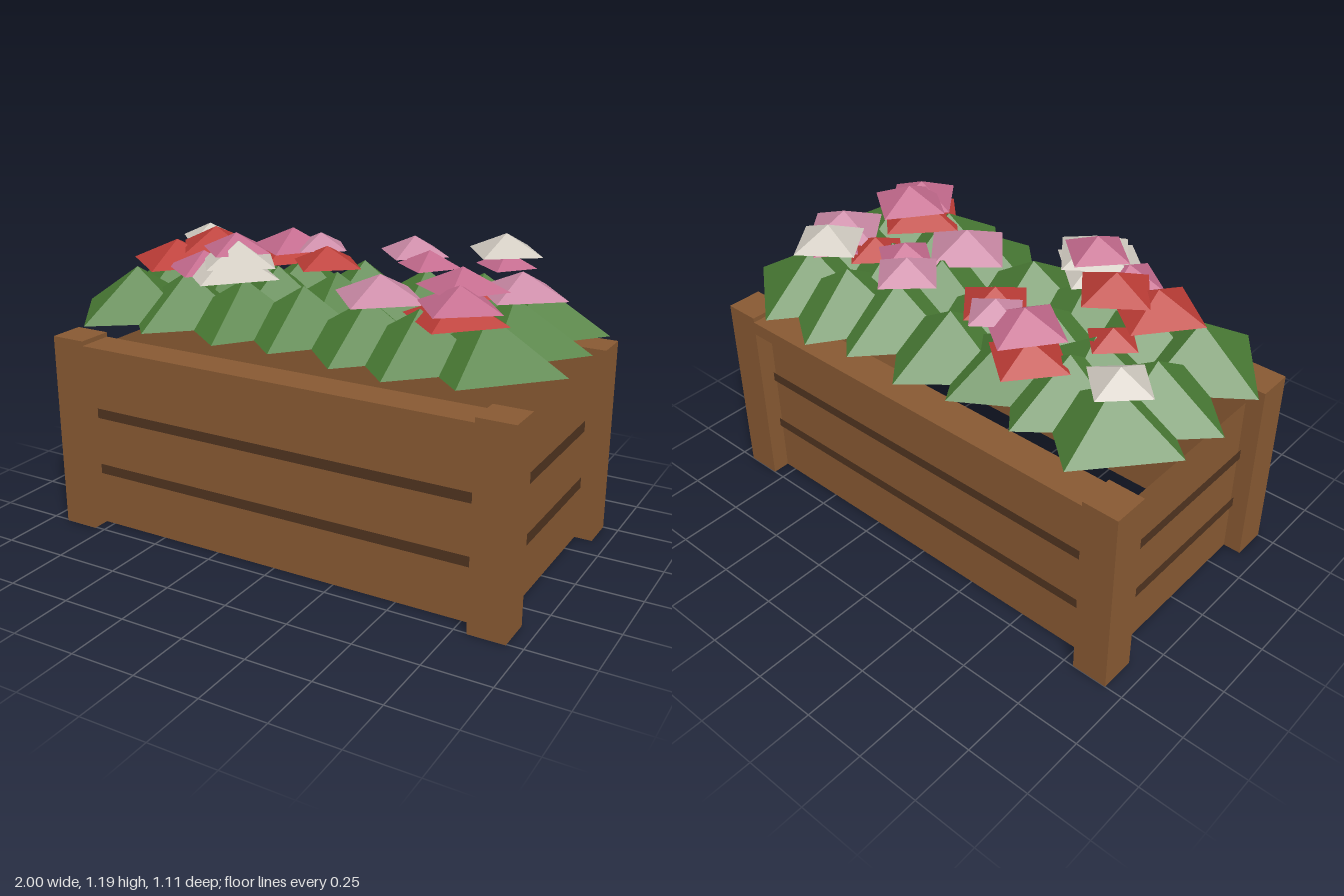
import * as THREE from 'three';

const mat = (name, color) => {
  const m = new THREE.MeshStandardMaterial({ color, flatShading: true, side: THREE.DoubleSide });
  m.name = name;
  return m;
};

export function createModel() {
  const wood = mat('wood', 0x895a33);
  const gapBrown = mat('darkWood', 0x503420);
  const green = mat('leafGreen', 0x4a7c35);
  const colours = {
    red: mat('red', 0xbc3c36),
    pink: mat('pink', 0xc2698c),
    pale: mat('palePink', 0xca89a5),
    white: mat('offWhite', 0xd0cac0),
  };

  const model = new THREE.Group();
  model.name = 'flowerPlanter';

  const add = (parent, name, geometry, material, x, y, z) => {
    const mesh = new THREE.Mesh(geometry, material);
    mesh.name = name;
    mesh.position.set(x, y, z);
    parent.add(mesh);
    return mesh;
  };

  // Open-bottomed crate
  const crate = new THREE.Group();
  crate.name = 'crate';
  crate.position.set(0.005, 0, 0.003);
  model.add(crate);

  // Hollow post: a box without its bottom face
  const postGeometry = new THREE.BoxGeometry(0.14, 0.768, 0.14);
  const faces = Array.from(postGeometry.index.array);
  faces.splice(18, 6);
  postGeometry.setIndex(faces);
  postGeometry.clearGroups();

  // Upright sheet facing outwards on a long side or an end
  const longSheet = (name, w, h, material, s, y, z) => {
    add(crate, name, new THREE.PlaneGeometry(w, h), material, 0, y, s * z).rotation.y = s > 0 ? 0 : Math.PI;
  };
  const endSheet = (name, w, h, material, s, y, x) => {
    add(crate, name, new THREE.PlaneGeometry(w, h), material, s * x, y, 0).rotation.y = s * Math.PI / 2;
  };

  for (const s of [-1, 1]) {
    for (const t of [-1, 1]) add(crate, 'cornerPost', postGeometry, wood, s * 0.865, 0.384, t * 0.433);
    add(crate, 'topRail', new THREE.BoxGeometry(1.59, 0.055, 0.14), wood, 0, 0.7225, s * 0.433);
    longSheet('longWall', 1.73, 0.695, wood, s, 0.3475, 0.433);
    endSheet('endWall', 0.866, 0.695, wood, s, 0.3475, 0.865);

    // Dark lines between boards
    for (const y of [0.232, 0.463]) {
      longSheet('longWallGap', 1.59, 0.039, gapBrown, s, y, 0.443);
      endSheet('endWallGap', 0.726, 0.043, gapBrown, s, y, 0.875);
    }
  }

  // Open four-sided pyramid with one corner turned to angle
  const pyramid = (parent, name, material, x, z, r, base, height, angle) => {
    const geometry = new THREE.ConeGeometry(r, height, 4, 1, true);
    add(parent, name, geometry, material, x, base + height / 2, z).rotation.y = angle;
  };

  // Leaves: three rows, each entry is [peak x, peak z, sideways lean of the outer corner]
  const foliage = new THREE.Group();
  foliage.name = 'foliage';
  model.add(foliage);
  const clumps = [
    [-0.7, 0.27, -0.04], [-0.49, 0.235, -0.01], [-0.24, 0.23, 0.04], [0, 0.21, 0.02],
    [0.28, 0.245, 0], [0.49, 0.275, 0], [0.72, 0.23, 0.01],
    [-0.72, -0.02, 0], [-0.48, -0.04, 0.04], [-0.24, 0, -0.02], [0, -0.03, 0.04],
    [0.26, -0.01, -0.02], [0.49, -0.04, 0.03], [0.71, -0.02, 0.03],
    [-0.69, -0.22, -0.02], [-0.48, -0.18, 0.03], [-0.24, -0.2, 0.06], [0, -0.245, 0.02],
    [0.27, -0.235, -0.01], [0.48, -0.285, -0.05], [0.69, -0.27, -0.03],
  ];
  for (const [x, z, lean] of clumps) {
    pyramid(foliage, 'leafClump', green, x, z, 0.278, 0.843, 0.175, Math.atan2(lean, z < -0.1 ? -0.27 : 0.27));
  }

  // Flowers: [colour, x, z, radius, base height]
  const flowers = new THREE.Group();
  flowers.name = 'flowers';
  model.add(flowers);
  const blooms = [
    ['white', -0.71, -0.22, 0.135, 1.035],
    ['red', -0.36, -0.25, 0.165, 0.985],
    ['red', -0.43, 0.13, 0.165, 1.1],
    ['red', -0.56, 0.2, 0.19, 1.04],
    ['red', -0.52, 0, 0.11, 1.0],
    ['red', -0.09, -0.11, 0.155, 1.02],
    ['pink', -0.29, -0.19, 0.17, 1.05],
    ['pale', -0.17, -0.2, 0.125, 1.06],
    ['pink', -0.25, 0.26, 0.14, 1.13],
    ['white', -0.25, 0.3, 0.2, 1.05],
    ['white', -0.22, 0.29, 0.17, 1.095],
    ['pink', -0.38, 0.28, 0.15, 1.05],
    ['pale', 0.27, 0.14, 0.19, 0.995],
    ['pale', 0.22, -0.23, 0.145, 1.075],
    ['pink', 0.33, -0.13, 0.125, 1.06],
    ['white', 0.56, -0.29, 0.155, 1.105],
    ['pink', 0.58, -0.25, 0.115, 1.065],
    ['red', 0.53, -0.09, 0.13, 0.99],
    ['pale', 0.71, -0.08, 0.18, 1.015],
    ['pink', 0.59, 0.16, 0.165, 1.075],
    ['pink', 0.63, 0.27, 0.165, 1.04],
    ['red', 0.6, 0.23, 0.195, 0.985],
  ];
  blooms.forEach(([colour, x, z, r, base], i) =>
    pyramid(flowers, 'flower', colours[colour], x, z, r, base, r * 0.42 + 0.005, 0.15 * Math.sin(i * 2.4)));

  return model;
}
